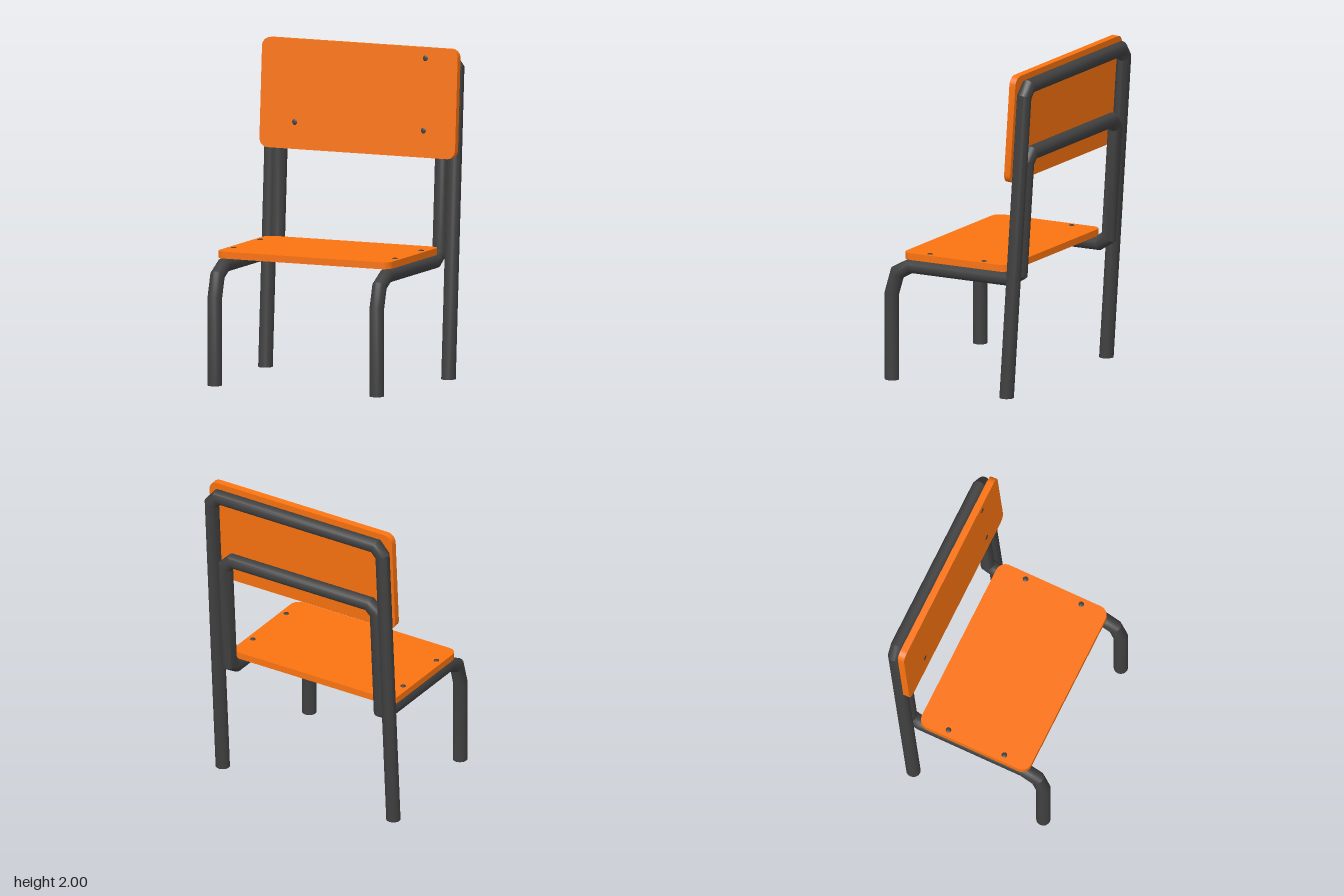
import * as THREE from 'three';
import { toCreasedNormals } from 'three/addons/utils/BufferGeometryUtils.js';

const steel = new THREE.MeshStandardMaterial({ color: 0x404040 });
const orange = new THREE.MeshStandardMaterial({ color: 0xfa7310 });
const R = 0.044;
const SIDES = 16;
const LEAN = 0.065; // backward lean per unit of height
const leanZ = (y) => -0.355 - LEAN * y;

// Round tube along straight runs, mitred at every bend, capped at both ends
function mitredTube(points) {
  const p = points.map((a) => new THREE.Vector3(...a));
  const n = p.length;
  const dir = p.slice(1).map((q, i) => q.clone().sub(p[i]).normalize());
  const side = new THREE.Vector3(1, 0, 0);
  const fwd = dir[0].clone().cross(side).normalize();
  side.crossVectors(fwd, dir[0]);
  const pos = [];
  const index = [];
  let ring = [];
  for (let j = 0; j < SIDES; j++) {
    const a = (j / SIDES) * Math.PI * 2;
    ring.push(p[0].clone().addScaledVector(side, R * Math.cos(a)).addScaledVector(fwd, R * Math.sin(a)));
  }
  for (let i = 0; i < n; i++) {
    // slide the ring along its run until it meets the mitre plane (flat on the floor at the ends)
    const d = dir[Math.max(i - 1, 0)];
    const normal = i > 0 && i < n - 1 ? d.clone().add(dir[i]).normalize() : new THREE.Vector3(0, 1, 0);
    ring = ring.map((v) => v.clone().addScaledVector(d, p[i].clone().sub(v).dot(normal) / d.dot(normal)));
    ring.forEach((v) => pos.push(v.x, v.y, v.z));
  }
  for (let i = 0; i < n - 1; i++) {
    for (let j = 0; j < SIDES; j++) {
      const k = (j + 1) % SIDES;
      const a = i * SIDES + j, b = i * SIDES + k;
      index.push(a, b, a + SIDES, b, b + SIDES, a + SIDES);
    }
  }
  const last = (n - 1) * SIDES;
  for (let j = 1; j < SIDES - 1; j++) {
    index.push(0, j + 1, j, last, last + j, last + j + 1);
  }
  const g = new THREE.BufferGeometry();
  g.setAttribute('position', new THREE.Float32BufferAttribute(pos, 3));
  g.setIndex(index);
  return toCreasedNormals(g, 0.6);
}

// Rounded board, centred, thickness along z
function board(w, h, t, r) {
  const x = w / 2, y = h / 2;
  const s = new THREE.Shape();
  s.absarc(x - r, y - r, r, 0, Math.PI / 2);
  s.absarc(-x + r, y - r, r, Math.PI / 2, Math.PI);
  s.absarc(-x + r, -y + r, r, Math.PI, Math.PI * 1.5);
  s.absarc(x - r, -y + r, r, Math.PI * 1.5, Math.PI * 2);
  const g = new THREE.ExtrudeGeometry(s, { depth: t, bevelEnabled: false, curveSegments: 4 });
  g.translate(0, 0, -t / 2);
  return toCreasedNormals(g, 0.6);
}

function add(parent, name, geometry, material, x = 0, y = 0, z = 0) {
  const m = new THREE.Mesh(geometry, material);
  m.name = name;
  m.position.set(x, y, z);
  parent.add(m);
  return m;
}

export function createModel() {
  const chair = new THREE.Group();
  chair.name = 'chair';

  // Outer frame: rear legs joined by the top rail
  const outer = [[0.607, 0], [0.607, 1.875], [0.56, 1.931]];
  const outerPath = [
    ...outer.map(([x, y]) => [-x - 0.004, y, leanZ(y)]),
    ...outer.reverse().map(([x, y]) => [x, y, leanZ(y)]),
  ];
  add(chair, 'rearFrame', mitredTube(outerPath), steel);

  // Inner frame: front legs, seat rails, back posts and lower back rail
  const mid = -0.014, half = 0.539;
  const inner = [
    [half, 0, 0.485], [half, 0.535, 0.485], [half, 0.665, 0.447], [half, 0.716, 0.355],
    [half, 0.716, -0.335], [half, 0.76, leanZ(0.76)],
    [half, 1.45, leanZ(1.45)], [half - 0.05, 1.5, leanZ(1.5)],
  ];
  const innerPath = [
    ...inner.map(([x, y, z]) => [mid - x, y, z]),
    ...inner.reverse().map(([x, y, z]) => [mid + x, y, z]),
  ];
  add(chair, 'seatFrame', mitredTube(innerPath), steel);

  // Seat board with four screws
  const seat = add(chair, 'seat', board(1.155, 0.73, 0.042, 0.06), orange, -0.016, 0.782, 0.03);
  seat.rotation.x = -Math.PI / 2;
  const screw = new THREE.SphereGeometry(0.018, 10, 6);
  for (const x of [-0.55, 0.522]) {
    for (const z of [-0.15, 0.223]) {
      add(chair, 'seatScrew', screw, steel, x, 0.802, z).scale.y = 0.4;
    }
  }

  // Leaning backrest board with screws into both rails
  const back = new THREE.Group();
  back.name = 'backrest';
  back.position.set(-0.003, 1.667, -0.4);
  back.rotation.x = -Math.atan(LEAN);
  chair.add(back);
  add(back, 'backBoard', board(1.302, 0.666, 0.042, 0.055), orange);
  for (const [x, y] of [[-0.42, -0.17], [0.437, -0.17], [0.437, 0.268]]) {
    add(back, 'backScrew', screw, steel, x, y, 0.02).scale.z = 0.3;
  }

  return chair;
}
